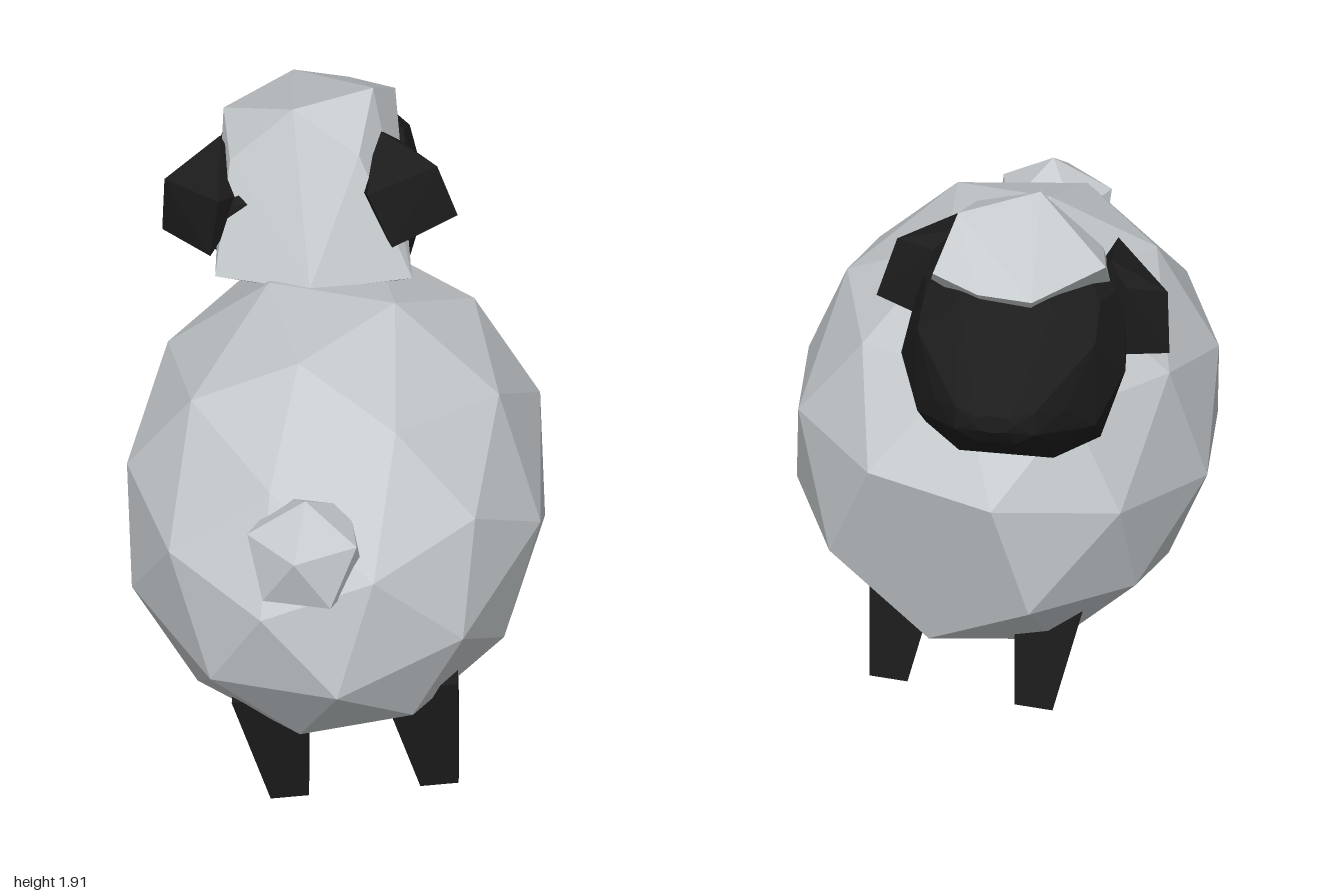
import * as THREE from 'three';
import { ConvexGeometry } from 'three/addons/geometries/ConvexGeometry.js';

export function createModel() {
  const model = new THREE.Group();
  model.name = 'sheep';
  const wool = new THREE.MeshStandardMaterial({ color: 0xc6cbce });
  wool.name = 'wool';
  const black = new THREE.MeshStandardMaterial({ color: 0x1d1d1d });
  black.name = 'black skin';

  // Adds a faceted mesh
  const add = (name, geometry, material, parent = model) => {
    const flat = geometry.index ? geometry.toNonIndexed() : geometry;
    flat.computeVertexNormals();
    const mesh = new THREE.Mesh(flat, material);
    mesh.name = name;
    parent.add(mesh);
    return mesh;
  };
  const hull = (points) => new ConvexGeometry(points.map((p) => new THREE.Vector3(...p)));
  // Rotation frame from a direction and a rough side direction
  const frame = (direction, side) => {
    const n = new THREE.Vector3(...direction).normalize();
    const e = new THREE.Vector3(...side);
    e.addScaledVector(n, -e.dot(n)).normalize();
    return new THREE.Matrix4().makeBasis(n, e, n.clone().cross(e));
  };

  // Body: stretched faceted ball, turned so that one corner faces the chest, where it is cut flat
  const chest = [0.216, -0.181, -0.959];
  const body = new THREE.IcosahedronGeometry(1, 1);
  body.applyMatrix4(frame(chest, [0.534, 0.843, -0.037]).multiply(frame([0, 0.526, 0.851], [0, -0.851, 0.526]).transpose()));
  const bp = body.attributes.position;
  const corner = new THREE.Vector3(...chest);
  const v = new THREE.Vector3();
  for (let i = 0; i < bp.count; i++) {
    v.fromBufferAttribute(bp, i);
    if (v.distanceTo(corner) < 0.1) v.multiplyScalar(0.851);
    bp.setXYZ(i, v.x, v.y, v.z);
  }
  body.scale(0.66, 0.66, 0.9).translate(0, 0.84, 0.095);
  add('body', body, wool);

  // Tail: small tuft
  const tail = new THREE.IcosahedronGeometry(0.2, 0);
  tail.rotateX(0.5536).rotateZ(Math.PI / 5).rotateX(-0.42).rotateY(-0.1).translate(-0.02, 1.115, 0.805);
  add('tail', tail, wool);

  // Legs: tapered square posts, given by the centre of each foot
  const legs = [
    ['rearRightLeg', -0.1, 0.012, 0.49],
    ['rearLeftLeg', 0.355, 0.078, 0.47],
    ['frontRightLeg', -0.165, 0.125, -0.4],
    ['frontLeftLeg', 0.28, 0.19, -0.41],
  ];
  for (const [name, x, y, z] of legs) {
    const leg = new THREE.CylinderGeometry(0.165, 0.083, 0.46, 4);
    leg.rotateY(Math.PI / 4).translate(0, 0.23, 0).rotateZ(0.13).rotateX(0.12).rotateY(0.09);
    add(name, leg, black).position.set(x, y, z);
  }

  // Head: rings narrowing to the muzzle (z, centre y, half width, half height)
  const rings = [
    [-0.28, 1.5, 0.27, 0.14], [-0.4, 1.5, 0.33, 0.25], [-0.62, 1.445, 0.345, 0.305],
    [-0.75, 1.465, 0.29, 0.285], [-0.87, 1.44, 0.2, 0.15], [-0.96, 1.435, 0.13, 0.08], [-1, 1.445, 0.06, 0.03],
  ];
  const headPoints = [];
  const bulge = (t) => Math.sign(t) * Math.abs(t) ** 0.72;
  rings.forEach(([z, y, w, h], r) => {
    for (let i = 0; i < 8; i++) {
      const a = (i + (r % 2) / 2) * Math.PI / 4;
      headPoints.push([-0.135 + w * bulge(Math.cos(a)), y + h * bulge(Math.sin(a)), z]);
    }
  });
  add('head', hull(headPoints), black);

  // Wool cap over the crown and the back of the neck
  add('woolCap', hull([
    [-0.18, 1.91, -0.38], [0.05, 1.9, -0.53], [-0.41, 1.77, -0.56], [-0.22, 1.76, -0.79],
    [-0.05, 1.76, -0.77], [0.1, 1.78, -0.7], [0.03, 1.81, -0.3], [-0.37, 1.72, -0.36],
    [-0.1, 1.44, -0.1], [-0.4, 1.39, -0.21], [0.2, 1.42, -0.22], [-0.1, 1.25, -0.35],
  ]), wool);

  // Ears: drooping wedges, mirrored, on the tilted head
  const ears = new THREE.Group();
  ears.name = 'ears';
  ears.position.set(-0.15, 1.6, -0.4);
  ears.rotation.z = 0.13;
  model.add(ears);
  const earPoints = [
    [0.455, -0.14, -0.02], [0.42, 0.06, 0], [0.24, 0.17, -0.06], [0.23, 0.1, 0.19], [0.28, -0.1, 0.19],
    [0.32, -0.14, -0.08], [0.3, 0.1, -0.09], [0.16, 0, 0],
  ];
  for (const s of [1, -1]) {
    add(s > 0 ? 'leftEar' : 'rightEar', hull(earPoints.map(([x, y, z]) => [s * x, y, z])), black, ears);
  }

  return model;
}
